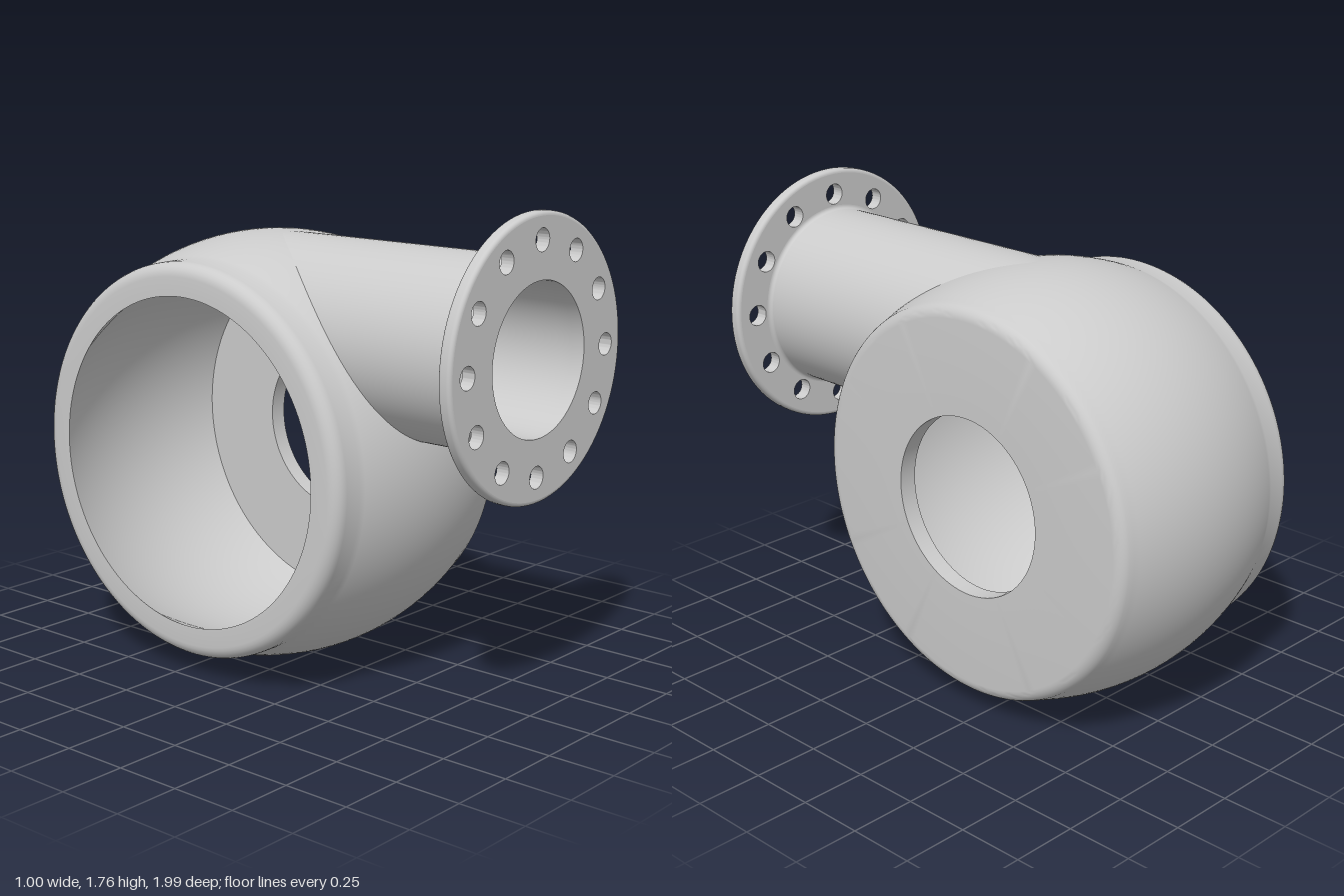
import * as THREE from 'three';
import { toCreasedNormals } from 'three/addons/utils/BufferGeometryUtils.js';

const PIPE_Y = 0.46;            // pipe axis height above the housing axis
const BORE = 0.27, PIPE = 0.343;
const FRONT = 1.19;             // pipe mouth, measured from the housing axis
const outerR = x => 0.805 - 0.5 * x * x;   // barrel shaped outside
const innerR = x => 0.735 - 0.5 * x * x;   // cavity, same curve one wall in

// Surface from a grid of points fn(i, j); faces look along (i step) x (j step).
// drop(i, j) tells which corners lie in an opening.
function gridGeometry(ni, nj, fn, drop = () => false) {
  const pos = [], index = [];
  for (let i = 0; i <= ni; i++) for (let j = 0; j <= nj; j++) pos.push(...fn(i, j));
  const tri = (...c) => {
    if (!c.every(([i, j]) => drop(i, j))) index.push(...c.map(([i, j]) => i * (nj + 1) + j));
  };
  for (let i = 0; i < ni; i++) for (let j = 0; j < nj; j++) {
    tri([i, j], [i + 1, j], [i + 1, j + 1]);
    tri([i, j], [i + 1, j + 1], [i, j + 1]);
  }
  const g = new THREE.BufferGeometry();
  g.setAttribute('position', new THREE.Float32BufferAttribute(pos, 3));
  g.setIndex(index);
  return toCreasedNormals(g, 0.6);
}

// Profile of [x, radius, wall curve, opening radius] turned about the x axis,
// with a round opening for the pipe; corners inside it are moved to its edge.
function revolveGeometry(profile, segments) {
  const raw = (i, j) => {
    const [x, r] = profile[i], a = (j / segments) * Math.PI * 2;
    return [x, r * Math.sin(a), r * Math.cos(a)];
  };
  const inside = (i, j) => {
    const [x, y, z] = raw(i, j), cut = profile[i][3];
    return !!cut && z > 0 && Math.hypot(x, y - PIPE_Y) < cut;
  };
  const point = (i, j) => {
    const p = raw(i, j);
    if (!inside(i, j)) return p;
    const [, , wall, cut] = profile[i];
    const a = Math.atan2(p[1] - PIPE_Y, p[0]);
    const x = cut * Math.cos(a), y = PIPE_Y + cut * Math.sin(a);
    return [x, y, Math.sqrt(Math.max(0, wall(x) ** 2 - y * y))];
  };
  return gridGeometry(profile.length - 1, segments, point, inside);
}

// Quarter round from angle a0 to a1
function fillet(cx, cr, rad, a0, a1, n = 6) {
  return Array.from({ length: n + 1 }, (_, k) => {
    const a = a0 + ((a1 - a0) * k) / n;
    return [cx + rad * Math.cos(a), cr + rad * Math.sin(a)];
  });
}

function housingProfile() {
  const p = [[-0.5, innerR(-0.5)]];
  // collar around the large opening
  p.push(...fillet(-0.45, 0.68, 0.05, Math.PI, Math.PI / 2));
  // barrel wall
  for (let k = 0; k <= 36; k++) {
    const x = -0.385 + (0.755 * k) / 36;
    p.push([x, Math.max(x < -0.36 ? 0.73 : 0, outerR(x)), outerR, 0.305]);
  }
  // rounded edge, flat end and its smaller hole
  p.push(...fillet(0.37, 0.685, 0.05, 1.2, 0));
  p.push([0.42, 0.335], [0.35, 0.335]);
  // cavity back to the large opening
  for (let k = 0; k <= 44; k++) {
    const x = 0.35 - (0.85 * k) / 44;
    p.push([x, innerR(x), innerR, BORE]);
  }
  return p;
}

// Pipe wall that ends exactly on the given housing curve
function pipeGeometry(radius, wall, front, inward) {
  const n = 96, rows = 12;
  return gridGeometry(n, rows, (i, j) => {
    const a = ((inward ? -i : i) / n) * Math.PI * 2;
    const x = radius * Math.cos(a), y = PIPE_Y + radius * Math.sin(a);
    const back = Math.sqrt(Math.max(0, wall(x) ** 2 - y * y));
    return [x, y, back + ((front - back) * j) / rows];
  });
}

function circlePath(Type, x, y, r) {
  const path = new Type();
  path.absarc(x, y, r, 0, Math.PI * 2, false);
  return path;
}

export function createModel() {
  const material = new THREE.MeshStandardMaterial({ color: 0xcccccc });
  const model = new THREE.Group();
  model.name = 'pumpHousing';
  const body = new THREE.Group();
  body.name = 'body';
  body.position.set(0, 0.81, -0.19);
  model.add(body);
  const add = (name, geometry) => {
    const mesh = new THREE.Mesh(geometry, material);
    mesh.name = name;
    body.add(mesh);
    return mesh;
  };

  add('housingShell', revolveGeometry(housingProfile(), 160));
  add('outletPipe', pipeGeometry(PIPE, outerR, FRONT - 0.04, false));
  add('outletBore', pipeGeometry(BORE, innerR, FRONT - 0.045, true));

  // Flange plate with twelve bolt holes
  const plate = circlePath(THREE.Shape, 0, 0, 0.485);
  plate.holes.push(circlePath(THREE.Path, 0, 0, BORE));
  for (let k = 0; k < 12; k++) {
    const a = (k * Math.PI) / 6;
    plate.holes.push(circlePath(THREE.Path, 0.405 * Math.cos(a), 0.405 * Math.sin(a), 0.04));
  }
  const plateGeometry = new THREE.ExtrudeGeometry(plate, { depth: 0.05, bevelEnabled: false, curveSegments: 48 });
  add('flangePlate', toCreasedNormals(plateGeometry, 0.6)).position.set(0, PIPE_Y, FRONT - 0.05);

  // Rounded flange rim and the small fillet behind the plate
  const ring = (name, points) => {
    const g = new THREE.LatheGeometry(points.map(([z, r]) => new THREE.Vector2(r, z)), 96);
    g.rotateX(Math.PI / 2);
    add(name, g).position.set(0, PIPE_Y, FRONT - 0.05);
  };
  ring('flangeRim', [
    ...fillet(0.015, 0.485, 0.015, Math.PI, Math.PI / 2),
    ...fillet(0.035, 0.485, 0.015, Math.PI / 2, 0),
  ]);
  ring('flangeFillet', fillet(-0.015, PIPE + 0.015, 0.015, -Math.PI / 2, 0));

  return model;
}
